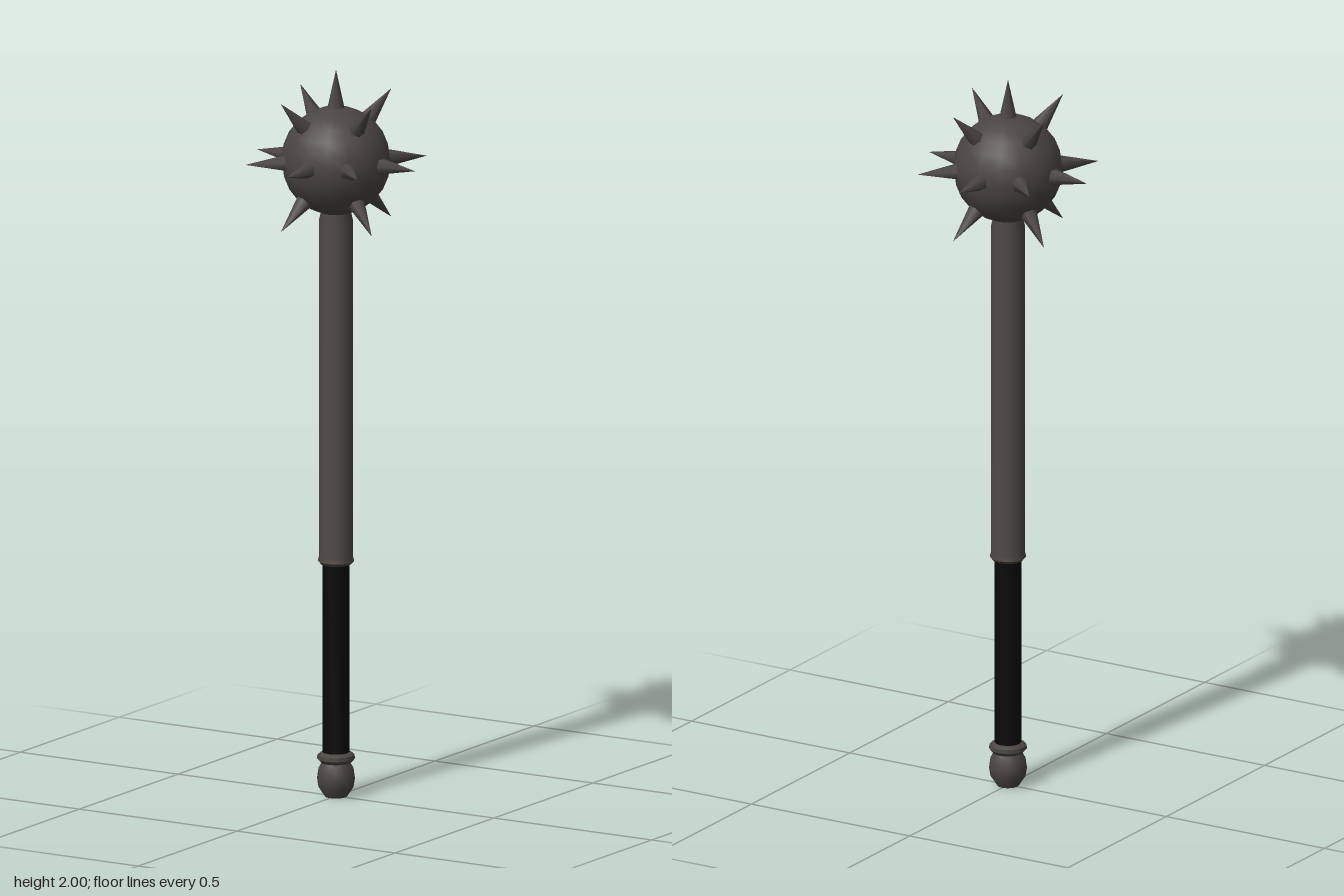
import * as THREE from 'three';
import { toCreasedNormals } from 'three/addons/utils/BufferGeometryUtils.js';

export function createModel() {
  const model = new THREE.Group();
  model.name = 'spikedMace';
  const iron = new THREE.MeshStandardMaterial({ color: 0x4a4641 });
  iron.name = 'darkIron';
  const leather = new THREE.MeshStandardMaterial({ color: 0x090909 });
  leather.name = 'blackLeather';

  const add = (parent, name, geometry, material) => {
    const mesh = new THREE.Mesh(geometry, material);
    mesh.name = name;
    parent.add(mesh);
    return mesh;
  };
  // Turned part from [radius, height] pairs, bottom to top
  const turned = (points, sides) => toCreasedNormals(
    new THREE.LatheGeometry(points.map(([r, y]) => new THREE.Vector2(r, y)), sides), 0.7);

  // Handle: rounded pommel with collar, grip and shaft
  add(model, 'pommel', turned([[0, 0], [0.03, 0], [0.047, 0.025], [0.051, 0.05],
    [0.047, 0.078], [0.036, 0.098], [0, 0.098]], 12), iron);
  add(model, 'collar', turned([[0, 0.094], [0.042, 0.094], [0.051, 0.104], [0.05, 0.115],
    [0.04, 0.122], [0, 0.122]], 12), iron);
  add(model, 'grip', turned([[0, 0.11], [0.036, 0.11], [0.036, 0.65], [0, 0.65]], 12), leather);
  add(model, 'shaft', turned([[0, 0.64], [0.042, 0.64], [0.049, 0.648], [0.046, 0.66],
    [0.046, 1.585], [0.04, 1.61], [0.04, 1.63], [0, 1.63]], 12), iron);

  // Head: ball with radial spikes
  const head = new THREE.Group();
  head.name = 'head';
  head.position.y = 1.75;
  model.add(head);
  add(head, 'ball', new THREE.SphereGeometry(0.148, 16, 12), iron);

  const spikeGeometry = new THREE.ConeGeometry(0.025, 0.115, 6);
  spikeGeometry.translate(0, 0.1925, 0);
  const up = new THREE.Vector3(0, 1, 0);
  const addSpike = (azimuth, elevation) => {
    const a = THREE.MathUtils.degToRad(azimuth);
    const e = THREE.MathUtils.degToRad(elevation);
    const direction = new THREE.Vector3(
      Math.cos(e) * Math.cos(a), Math.sin(e), Math.cos(e) * Math.sin(a));
    add(head, 'spike', spikeGeometry, iron).quaternion.setFromUnitVectors(up, direction);
  };
  addSpike(0, 90);
  for (let i = 0; i < 8; i++) addSpike(i * 45, 0);
  for (let i = 0; i < 4; i++) {
    addSpike(25 + i * 90, 45);
    addSpike(25 + i * 90, -45);
  }
  return model;
}
